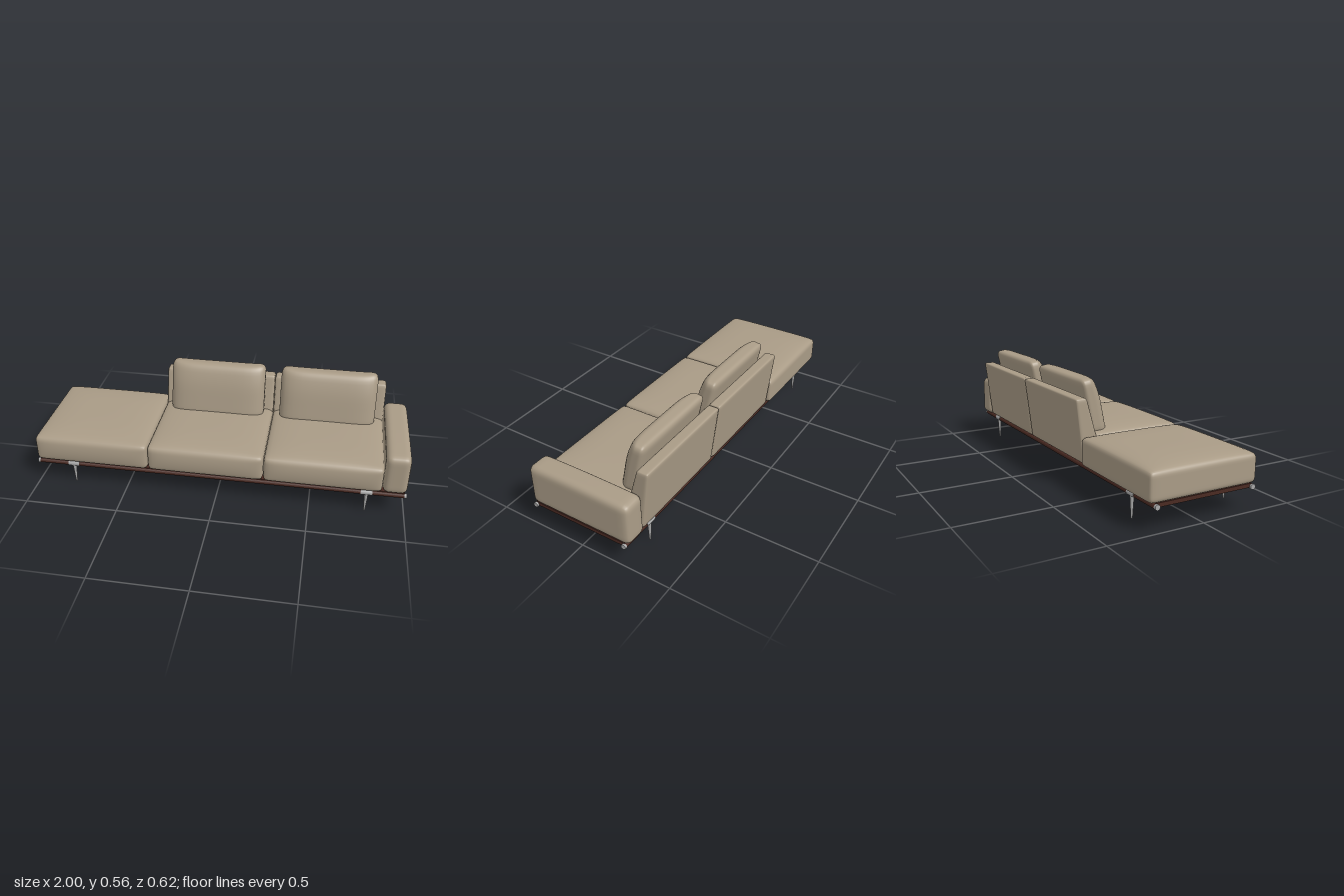
import * as THREE from 'three';
import { mergeVertices } from 'three/addons/utils/BufferGeometryUtils.js';

const mat = (name, color) => Object.assign(new THREE.MeshStandardMaterial({ color }), { name });

// Smooth rounded box with points clustered at the edges.
// deform(p, u, v, w) shifts a point; u, v, w run from -1 to 1 across the box.
function softBox(w, h, d, r, deform) {
  const n = 18;
  let geo = new THREE.BoxGeometry(2, 2, 2, n, n, n);
  geo.deleteAttribute('uv');
  geo.deleteAttribute('normal');
  geo = mergeVertices(geo);
  const pos = geo.attributes.position;
  const half = new THREE.Vector3(w / 2, h / 2, d / 2);
  const inner = half.clone().subScalar(r);
  const outer = inner.clone().negate();
  const p = new THREE.Vector3();
  const spread = (t) => Math.sign(t) * (1 - (1 - Math.abs(t)) ** 2);
  for (let i = 0; i < pos.count; i++) {
    p.fromBufferAttribute(pos, i);
    p.set(spread(p.x), spread(p.y), spread(p.z)).multiply(half);
    const core = p.clone().clamp(outer, inner);
    p.sub(core).setLength(r).add(core);
    if (deform) deform(p, p.x / half.x, p.y / half.y, p.z / half.z);
    pos.setXYZ(i, p.x, p.y, p.z);
  }
  geo.computeVertexNormals();
  return geo;
}

export function createModel() {
  const group = new THREE.Group();
  group.name = 'sofa';
  const leather = mat('taupe leather', 0xa99b86);
  const wood = mat('dark brown base', 0x4a2a22);
  const steel = mat('steel', 0xa8a8a8);

  const add = (name, geo, material, x, y, z) => {
    const mesh = new THREE.Mesh(geo, material);
    mesh.name = name;
    mesh.position.set(x, y, z);
    group.add(mesh);
    return mesh;
  };
  const rod = (name, r, length, material, x, y, z) => {
    add(name, new THREE.CylinderGeometry(r, r, length, 20), material, x, y, z).rotation.z = Math.PI / 2;
  };

  // Seat cushions: crowned top and bulging front
  const seat = (name, x0, x1, back) => {
    const front = 0.3;
    const geo = softBox(x1 - x0, 0.147, front - back, 0.026, (p, u, v, w) => {
      if (v > 0) p.y += 0.021 * v * (1 - u ** 4) * (1 - w ** 4);
      if (w > 0) p.z += 0.012 * w ** 4 * (1 - v * v) * (1 - u ** 6);
    });
    add(name, geo, leather, (x0 + x1) / 2, 0.2085, (front + back) / 2);
  };
  seat('openEndSeat', -1, -0.376, -0.29);
  seat('middleSeat', -0.374, 0.249, -0.23);
  seat('armEndSeat', 0.251, 0.872, -0.23);

  // Backrest panels: wedge shaped, leaning backwards
  for (const [x0, x1] of [[-0.374, 0.249], [0.251, 0.872]]) {
    const geo = softBox(x1 - x0, 0.339, 0.07, 0.014, (p, u, v, w) => {
      const t = (v + 1) / 2;
      const rear = -0.27 - 0.04 * t;
      const face = -0.15 - 0.096 * t;
      p.z = THREE.MathUtils.lerp(rear, face, (w + 1) / 2);
    });
    add('backrest', geo, leather, (x0 + x1) / 2, 0.3045, 0);
  }

  // Loose back cushions: leaning, with a front that falls away at top and sides
  for (const x of [-0.065, 0.555]) {
    const geo = softBox(0.53, 0.288, 0.115, 0.034, (p, u, v, w) => {
      const f = (w + 1) / 2;
      p.z -= f * (0.025 * Math.max(0, v) ** 2 + 0.035 * u ** 6);
      p.z -= 0.2 * p.y;
      if (v > 0) p.y += 0.01 * v * (f - 0.5);
    });
    add('backCushion', geo, leather, x, 0.413, -0.166);
  }

  // Armrest with a slightly crowned top
  const armGeo = softBox(0.128, 0.224, 0.583, 0.034, (p, u, v, w) => {
    if (v > 0) p.y += 0.005 * v * (1 - w * w);
    if (w < 0) p.z += 0.005 * (v + 1) / 2;
  });
  add('armrest', armGeo, leather, 0.936, 0.244, 0.0065);
  add('armBottom', new THREE.BoxGeometry(0.075, 0.006, 0.46), leather, 0.935, 0.115, 0.015);

  // Base board with a round rail along each long side
  add('baseBoard', new THREE.BoxGeometry(1.98, 0.02, 0.53), wood, 0, 0.126, 0.015);
  for (const z of [0.28, -0.25]) {
    rod('rail', 0.0125, 1.98, wood, 0, 0.12, z);
    for (const side of [-1, 1]) {
      rod('railCap', 0.0135, 0.012, steel, side * 0.994, 0.12, z);
      // Tapered leg hanging from a clamp
      rod('legClamp', 0.0145, 0.06, steel, side * 0.795, 0.12, z);
      add('leg', new THREE.CylinderGeometry(0.0105, 0.0045, 0.112, 20), steel, side * 0.795, 0.056, z);
    }
  }
  // Cross bars joining the legs
  for (const side of [-1, 1]) {
    add('crossBar', new THREE.BoxGeometry(0.05, 0.006, 0.52), steel, side * 0.795, 0.114, 0.015);
  }
  return group;
}
